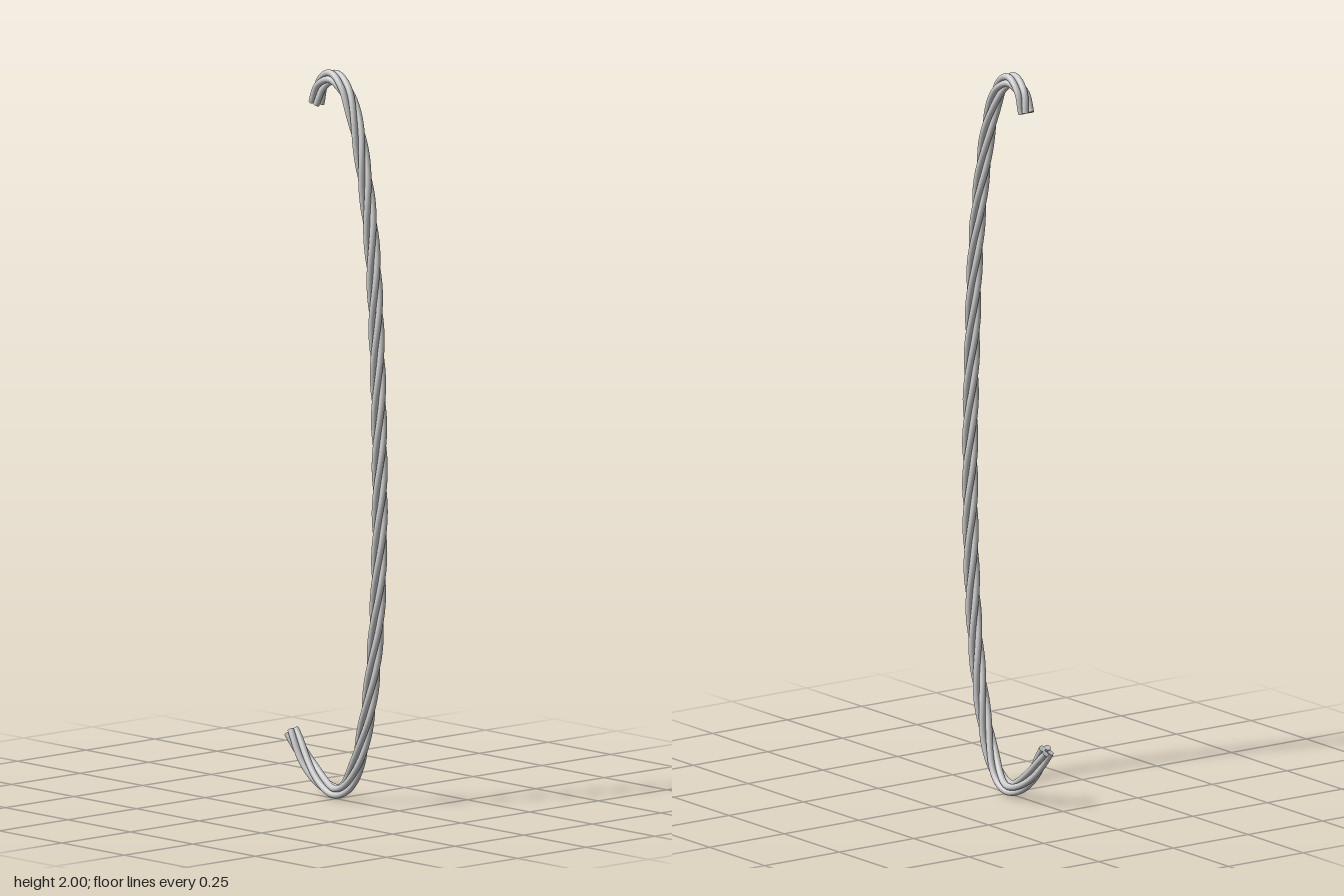
import * as THREE from 'three';

const STRAND_RADIUS = 0.009;
const STRAND_OFFSET = 0.0127; // distance of each strand from the rope's centre line
const TURNS = 5;

// Centre line of the hook, from the lower tip to the upper tip
const centreLine = new THREE.CatmullRomCurve3([
  [0.012, 0.16, -0.192], [0.013, 0.08, -0.127], [0.011, 0.034, -0.063], [0.005, 0.02, -0.005],
  [-0.001, 0.043, 0.045], [-0.006, 0.108, 0.09], [-0.01, 0.23, 0.132], [-0.013, 0.39, 0.164],
  [-0.014, 0.62, 0.185], [-0.015, 0.92, 0.191], [-0.015, 1.235, 0.181], [-0.015, 1.5, 0.164],
  [-0.016, 1.72, 0.132], [-0.016, 1.87, 0.095], [-0.016, 1.953, 0.053], [-0.016, 1.981, 0.004],
  [-0.016, 1.953, -0.042], [-0.017, 1.9, -0.06],
].map((p) => new THREE.Vector3(...p)), false, 'centripetal');
centreLine.arcLengthDivisions = 800;

// One strand winding round the centre line
class StrandCurve extends THREE.Curve {
  constructor(phase) {
    super();
    this.phase = phase;
  }

  getPoint(t, target = new THREE.Vector3()) {
    const tangent = centreLine.getTangentAt(t);
    const side = new THREE.Vector3(1, 0, 0);
    side.addScaledVector(tangent, -side.dot(tangent)).normalize();
    const up = new THREE.Vector3().crossVectors(tangent, side);
    const angle = this.phase + t * TURNS * Math.PI * 2;
    return target.copy(centreLine.getPointAt(t))
      .addScaledVector(side, Math.cos(angle) * STRAND_OFFSET)
      .addScaledVector(up, Math.sin(angle) * STRAND_OFFSET);
  }
}

// Flat disc closing one end of a strand
function endCap(curve, t, material) {
  const cap = new THREE.Mesh(new THREE.CircleGeometry(STRAND_RADIUS, 16), material);
  const outward = curve.getTangentAt(t).multiplyScalar(t === 0 ? -1 : 1);
  cap.position.copy(curve.getPointAt(t));
  cap.quaternion.setFromUnitVectors(new THREE.Vector3(0, 0, 1), outward);
  cap.name = t === 0 ? 'lowerStrandEnd' : 'upperStrandEnd';
  return cap;
}

export function createModel() {
  const model = new THREE.Group();
  model.name = 'twistedWireHook';
  const material = new THREE.MeshStandardMaterial({ color: 0xcccccc });

  // Four strands, a quarter turn apart
  for (let i = 0; i < 4; i++) {
    const curve = new StrandCurve(Math.PI / 4 + i * Math.PI / 2);
    const strand = new THREE.Group();
    strand.name = `strand${i + 1}`;
    const wire = new THREE.Mesh(new THREE.TubeGeometry(curve, 240, STRAND_RADIUS, 16), material);
    wire.name = 'wire';
    strand.add(wire, endCap(curve, 0, material), endCap(curve, 1, material));
    model.add(strand);
  }
  return model;
}
